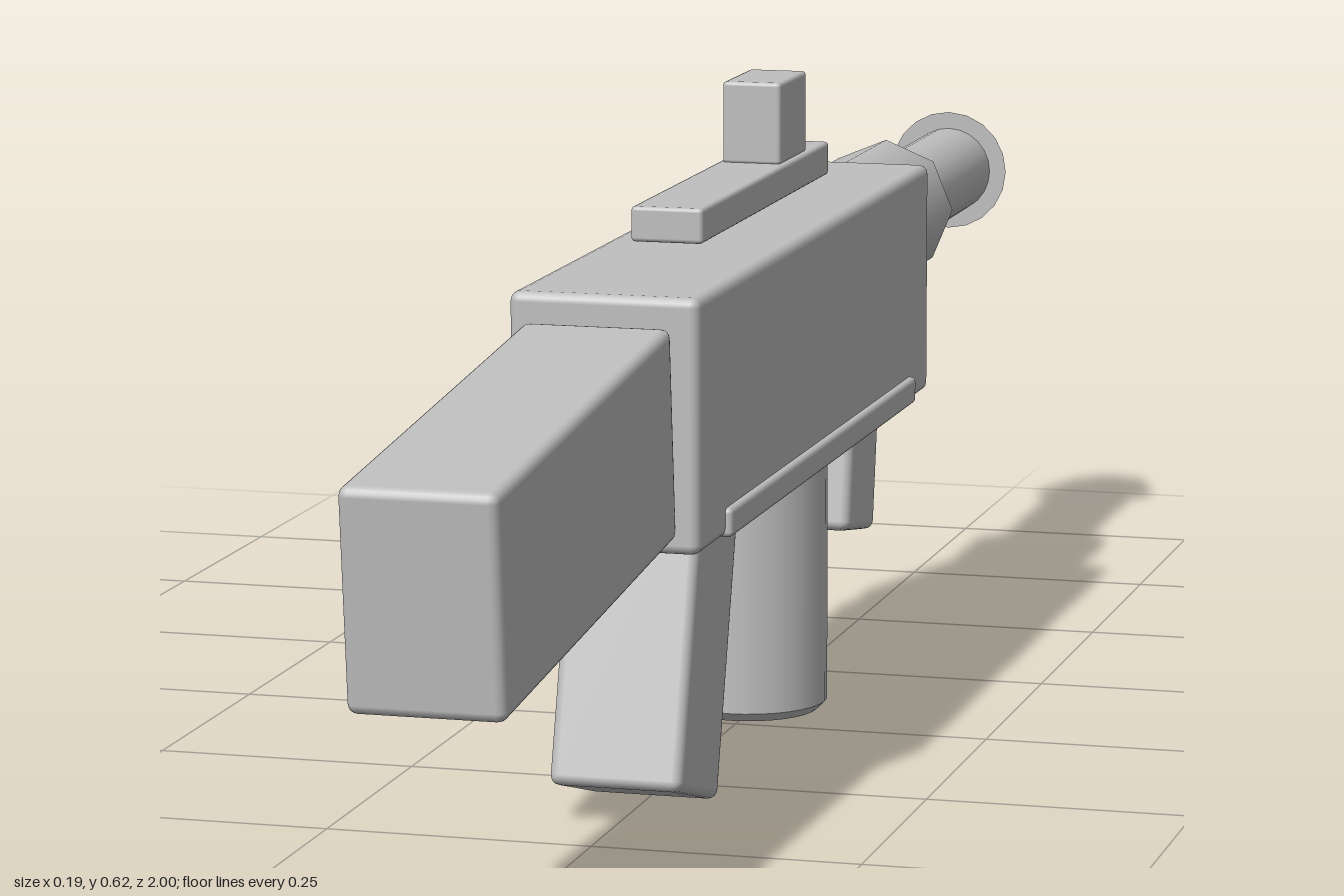
import * as THREE from 'three';
import { RoundedBoxGeometry } from 'three/addons/geometries/RoundedBoxGeometry.js';

const AXIS_Y = 0.43; // height of the barrel axis

export function createModel() {
  const model = new THREE.Group();
  model.name = 'toyBlaster';
  const grey = new THREE.MeshStandardMaterial({ color: 0xbfbfbf });
  grey.name = 'plain grey';

  function add(name, geometry, y, z, tilt = 0) {
    const mesh = new THREE.Mesh(geometry, grey);
    mesh.name = name;
    mesh.position.set(0, y, z);
    mesh.rotation.x = tilt;
    model.add(mesh);
    return mesh;
  }

  // Box with softly bevelled edges
  const block = (name, w, h, d, y, z, tilt = 0, r = 0.009) =>
    add(name, new RoundedBoxGeometry(w, h, d, 2, r), y, z, tilt);

  // Closed turned part; each ring is [radius, height], listed from bottom to top
  function turned(name, rings, sides, y, z, tilt = 0) {
    // Doubled rings keep the rims crisp while the sides stay smooth
    const points = [];
    rings.forEach(([r, h], i) => {
      points.push(new THREE.Vector2(r, h));
      if (i > 0 && i < rings.length - 1) points.push(new THREE.Vector2(r, h + 1e-5));
    });
    return add(name, new THREE.LatheGeometry(points, sides), y, z, tilt);
  }

  // Body, lower side rails and tilted stock
  block('receiver', 0.177, 0.233, 0.89, 0.387, 0.01);
  block('lowerSideRail', 0.19, 0.027, 0.72, 0.284, 0.005, 0, 0.005);
  block('stock', 0.138, 0.196, 0.528, 0.357, 0.727, 0.1);

  // Raised top rail and sight
  block('topRail', 0.069, 0.033, 0.475, 0.536, 0.008, 0, 0.004);
  block('sight', 0.058, 0.08, 0.102, 0.591, -0.11, 0, 0.004);

  // Slanted grips
  block('rearGrip', 0.125, 0.3, 0.14, 0.171, 0.318, -0.28);
  block('foregrip', 0.1, 0.17, 0.113, 0.229, -0.321, -0.17);

  // Round magazine with a bevelled bottom rim
  turned('magazine', [[0, 0], [0.068, 0], [0.077, 0.009], [0.077, 0.27], [0, 0.27]], 32, 0.017, -0.05);

  // Barrel parts, turned along the forward axis
  const forward = -Math.PI / 2;
  turned('barrelShroud', [[0, 0], [0.072, 0], [0.072, 0.187], [0.066, 0.193], [0, 0.193]],
    8, AXIS_Y, -0.425, forward);
  turned('barrel', [[0, 0], [0.046, 0], [0.046, 0.31], [0, 0.31]], 24, AXIS_Y, -0.6, forward);
  turned('muzzle', [[0, 0], [0.064, 0], [0.042, 0.07], [0, 0.07]], 20, AXIS_Y, -0.904, forward);
  block('muzzleTip', 0.024, 0.026, 0.04, AXIS_Y, -0.98, 0, 0.002);

  // Trigger guard: lower half ring between grip and magazine
  const guard = add('triggerGuard', new THREE.TorusGeometry(0.07, 0.012, 10, 24, Math.PI), 0.272, 0.19);
  guard.rotation.set(Math.PI, Math.PI / 2, 0);

  return model;
}
